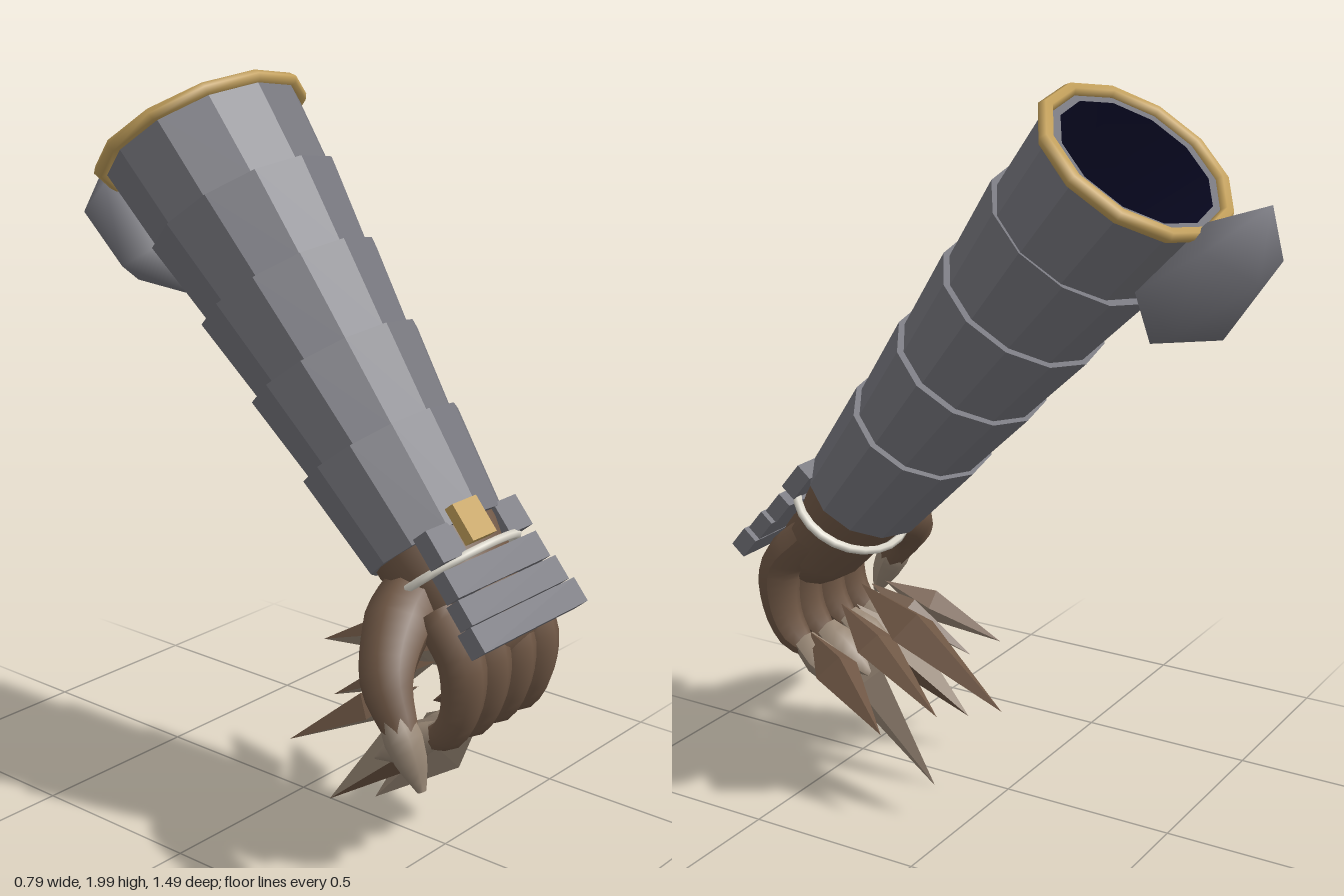
import * as THREE from 'three';
import { mergeVertices } from 'three/addons/utils/BufferGeometryUtils.js';

const mat = (name, color, side = THREE.FrontSide) => {
  const m = new THREE.MeshStandardMaterial({ color, side });
  m.name = name;
  return m;
};

const V = (x, y, z) => new THREE.Vector3(x, y, z);

// Faceted copy of a geometry
function flat(g) {
  const f = g.toNonIndexed();
  f.computeVertexNormals();
  return f;
}

function lathe(profile, sides, start = 0, sweep = Math.PI * 2) {
  return new THREE.LatheGeometry(profile.map(([r, y]) => new THREE.Vector2(r, y)), sides, start, sweep);
}

// Tube along a curve whose radius follows a list of values
function taperedTube(points, radii, steps = 12, sides = 8) {
  const curve = new THREE.CatmullRomCurve3(points);
  const g = new THREE.TubeGeometry(curve, steps, 1, sides);
  const p = g.attributes.position;
  const v = V(0, 0, 0);
  for (let i = 0; i <= steps; i++) {
    const c = curve.getPointAt(i / steps);
    const t = (i / steps) * (radii.length - 1);
    const k = Math.min(Math.floor(t), radii.length - 2);
    const r = THREE.MathUtils.lerp(radii[k], radii[k + 1], t - k);
    for (let j = 0; j <= sides; j++) {
      const n = i * (sides + 1) + j;
      v.fromBufferAttribute(p, n).sub(c).multiplyScalar(r).add(c);
      p.setXYZ(n, v.x, v.y, v.z);
    }
  }
  g.computeVertexNormals();
  return g;
}

export function createModel() {
  const grey = mat('grey armour', 0x76767d);
  const gold = mat('gold trim', 0xc4a15c);
  const brown = mat('brown skin', 0x6f5745);
  const taupe = mat('taupe claw', 0x9a8977);
  const cream = mat('cream cord', 0xdcd8cc);
  const navy = mat('dark lining', 0x0d0d2c, THREE.DoubleSide);

  const model = new THREE.Group();
  model.name = 'clawedGauntlet';
  const add = (parent, name, geometry, material, pos = [0, 0, 0]) => {
    const m = new THREE.Mesh(geometry, material);
    m.name = name;
    m.position.set(...pos);
    parent.add(m);
    return m;
  };

  // Forearm frame: y runs from wrist to elbow, z is the back of the hand
  const arm = new THREE.Group();
  arm.name = 'forearm';
  arm.position.set(0.03, 0.84, 0.43);
  arm.rotation.x = -0.695;
  model.add(arm);

  // Overlapping bracer bands, wider at their upper lips: [start, end, low radius, high radius, half width]
  const bands = [
    [0, 0.29, 0.168, 0.197, 0.262],
    [0.29, 0.535, 0.185, 0.215, 0.277],
    [0.535, 0.78, 0.202, 0.234, 0.29],
    [0.78, 1.025, 0.219, 0.251, 0.304],
    [1.025, 1.272, 0.23, 0.25, 0.322],
  ];
  bands.forEach(([y0, y1, low, high, width], i) => {
    const inner = i === 4 ? 0.212 : high - 0.05;
    const g = lathe([[low - 0.04, y0], [low, y0], [high, y1], [inner, y1]], 12);
    add(arm, 'bracerBand' + (i + 1), flat(g.scale(width / high, 1, 1)), grey);
  });
  const lining = lathe([[0.212, 1.272], [0.16, 0.75], [0.1, 0.6], [0, 0.56]], 12);
  add(arm, 'lining', lining.scale(1.288, 1, 1), navy);
  const rim = new THREE.TorusGeometry(0.25, 0.019, 6, 12).rotateX(Math.PI / 2);
  add(arm, 'rimTrim', rim.scale(1.32, 1, 1), gold, [0, 1.272, 0]);

  // Elbow guard, flattened where it rests on the bracer
  let elbow = new THREE.IcosahedronGeometry(1, 0);
  elbow.deleteAttribute('normal');
  elbow.deleteAttribute('uv');
  elbow = mergeVertices(elbow);
  elbow.rotateX(-1.0172).rotateY(0.2).scale(0.2, 0.245, 0.142);
  const ep = elbow.attributes.position;
  for (let i = 0; i < ep.count; i++) ep.setZ(i, Math.min(ep.getZ(i), 0.085));
  elbow.computeVertexNormals();
  add(arm, 'elbowGuard', elbow, grey, [-0.002, 1.197, -0.322]);

  // Wrist and palm
  const palm = lathe([[0, -0.35], [0.09, -0.32], [0.12, -0.24], [0.128, -0.12], [0.148, -0.02], [0.15, 0.12]], 14);
  add(arm, 'palm', palm.scale(1.4, 1, 1), brown);
  const cord = new THREE.TorusGeometry(0.158, 0.012, 6, 24).rotateX(Math.PI / 2);
  add(arm, 'wristCord', cord.scale(1.28, 1, 1), cream, [0, -0.084, 0.01]);

  // Stepped wrist plates and buckle: [width, height, depth, x, y, z]
  [
    [0.1, 0.09, 0.05, -0.145, -0.035, 0.122],
    [0.1, 0.09, 0.05, 0.14, -0.035, 0.122],
    [0.4, 0.075, 0.045, 0, -0.135, 0.114],
    [0.425, 0.07, 0.045, 0, -0.212, 0.119],
    [0.455, 0.07, 0.05, 0, -0.285, 0.121],
  ].forEach(([w, hh, d, x, y, z], i) =>
    add(arm, 'wristPlate' + (i + 1), new THREE.BoxGeometry(w, hh, d), grey, [x, y, z]));
  add(arm, 'buckle', new THREE.BoxGeometry(0.1, 0.105, 0.03), gold, [-0.05, -0.012, 0.17]);

  // Leaf-shaped blade with its upper and lower sides coloured apart
  const blade = (name, a, b, w, d, upper, lower) => {
    const from = V(...a), dir = V(...b).sub(from), len = dir.length();
    dir.normalize();
    const n = V(0, 1, 0.3);
    n.addScaledVector(dir, -n.dot(dir)).normalize();
    const basis = new THREE.Matrix4().makeBasis(V(0, 0, 0).crossVectors(dir, n), dir, n).setPosition(from);
    const g = new THREE.Group();
    g.name = name;
    model.add(g);
    [[-Math.PI / 2, upper], [Math.PI / 2, lower]].forEach(([start, m], i) => {
      const half = lathe([[0, 0], [1, 0.38], [0, 1]], 2, start, Math.PI);
      add(g, name + (i ? 'Lower' : 'Upper'), flat(half.scale(w, len, d).applyMatrix4(basis)), m);
    });
  };

  // Curled fingers with tapering nails
  [-0.145, -0.04, 0.07, 0.175].forEach((x, i) => {
    const path = [V(x * 0.95, 0.72, 0.55), V(x, 0.62, 0.64), V(x, 0.49, 0.643), V(x, 0.41, 0.6), V(x, 0.37, 0.52)];
    add(model, 'finger' + (i + 1), taperedTube(path, [0.055, 0.062, 0.06, 0.053, 0.045, 0.02], 14), brown);
    const tip = [V(x, 0.4, 0.57), V(x * 1.05, 0.35, 0.49), V(x * 1.15, 0.285, 0.39)];
    add(model, 'fingerNail' + (i + 1), taperedTube(tip, [0.036, 0.05, 0.038, 0.004], 6, 6), taupe);
  });

  // Thumb
  const thumb = [V(-0.08, 0.74, 0.45), V(-0.2, 0.69, 0.48), V(-0.315, 0.59, 0.54), V(-0.35, 0.48, 0.62)];
  add(model, 'thumb', taperedTube(thumb, [0.085, 0.09, 0.07, 0.042]), brown);
  const nail = [V(-0.345, 0.54, 0.58), V(-0.352, 0.46, 0.63), V(-0.35, 0.355, 0.68)];
  add(model, 'thumbNail', taperedTube(nail, [0.036, 0.051, 0.04, 0.012], 8, 6), taupe);

  // Long claws sweeping back from the curled hand
  [
    [[0.06, 0.42, 0.58], [0.088, 0.005, 0.19], 0.04, 0.085, taupe, taupe],
    [[0.1, 0.58, 0.42], [0.22, 0.36, -0.11], 0.075, 0.06, brown, taupe],
    [[0.13, 0.52, 0.47], [0.29, 0.335, 0.05], 0.06, 0.04, brown, taupe],
    [[0.17, 0.43, 0.55], [0.295, 0.24, 0.23], 0.065, 0.06, brown, brown],
    [[-0.07, 0.43, 0.56], [-0.16, 0.11, 0.23], 0.06, 0.07, taupe, brown],
    [[-0.12, 0.5, 0.49], [-0.275, 0.315, 0.19], 0.06, 0.045, brown, taupe],
    [[-0.02, 0.53, 0.47], [-0.06, 0.36, 0.16], 0.055, 0.04, brown, taupe],
  ].forEach((c, i) => blade('claw' + (i + 1), ...c));

  return model;
}
